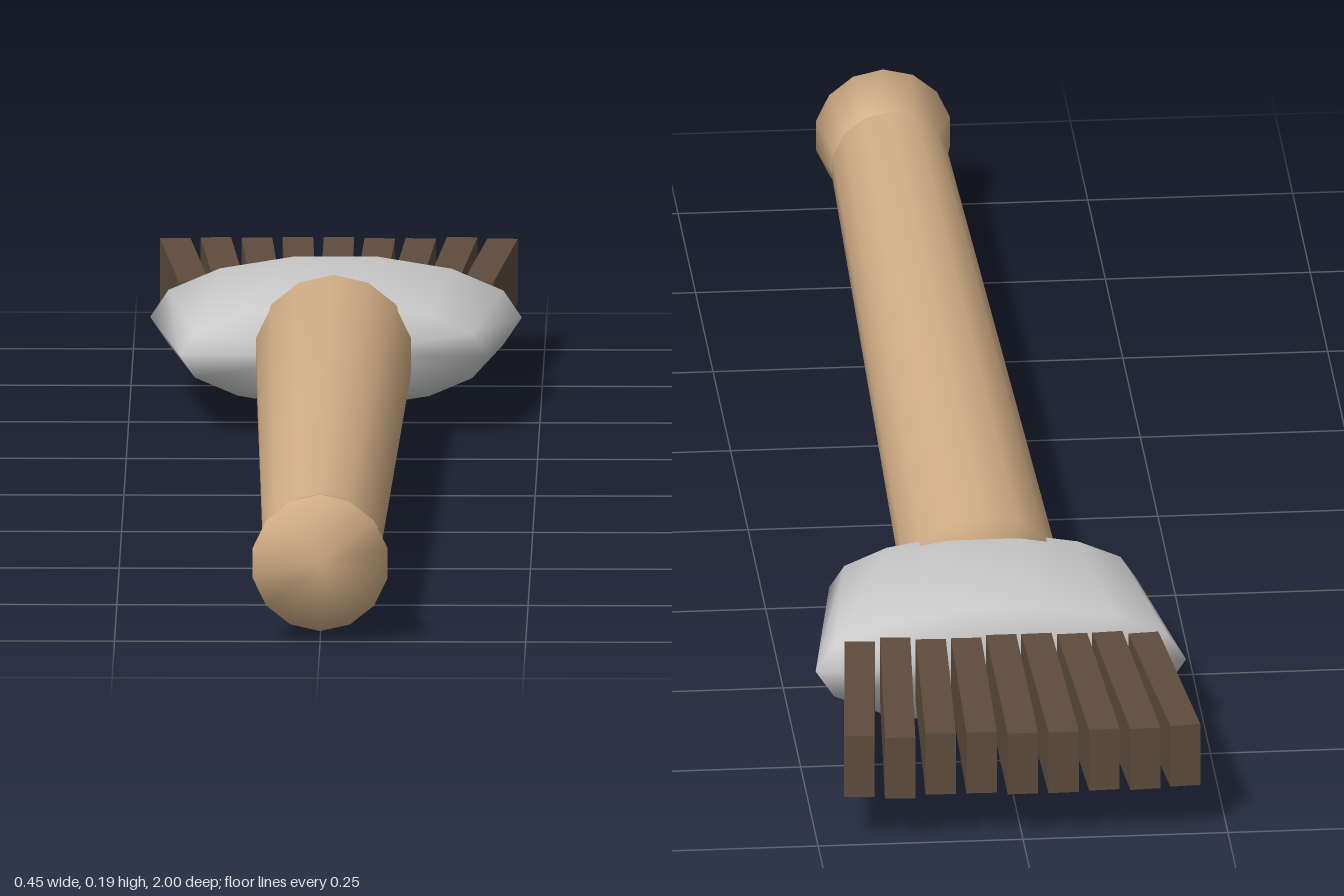
import * as THREE from 'three';
import { mergeVertices } from 'three/addons/utils/BufferGeometryUtils.js';

const AXIS_Y = 0.098;
const SIDES = 14;

const wood = new THREE.MeshStandardMaterial({ color: 0xd2ae86 });
const metal = new THREE.MeshStandardMaterial({ color: 0xcccccc });
const hair = new THREE.MeshStandardMaterial({ color: 0x5f4d3d });

// Closed tapered cylinder along z, with normals smoothed over the caps
function taper(name, material, zFront, rFront, zBack, rBack, flatten = 1, start = 0) {
  let geometry = new THREE.CylinderGeometry(rFront, rBack, zFront - zBack, SIDES, 1, false, start);
  geometry.rotateX(Math.PI / 2);
  geometry.scale(1, flatten, 1);
  geometry.deleteAttribute('uv');
  geometry.deleteAttribute('normal');
  geometry = mergeVertices(geometry);
  geometry.computeVertexNormals();
  const mesh = new THREE.Mesh(geometry, material);
  mesh.name = name;
  mesh.position.set(0, AXIS_Y, (zFront + zBack) / 2);
  return mesh;
}

export function createModel() {
  const brush = new THREE.Group();
  brush.name = 'paintbrush';

  // Wooden handle with a flared end
  brush.add(taper('handle', wood, 0.895, 0.072, -0.435, 0.097));
  brush.add(taper('handleEnd', wood, 1, 0.084, 0.89, 0.066));

  // Flattened metal sleeve, widening toward the bristles
  brush.add(taper('ferrule', metal, -0.42, 0.187, -0.683, 0.226, 0.34, Math.PI / 2));

  // Fan of bristle clumps of slightly uneven length
  const bristles = new THREE.Group();
  bristles.name = 'bristles';
  const lengths = [0.296, 0.308, 0.304, 0.312, 0.312, 0.298, 0.298, 0.316, 0.298];
  lengths.forEach((length, n) => {
    const i = n - 4;
    const clump = new THREE.Mesh(new THREE.BoxGeometry(0.037, 0.08, length), hair);
    clump.name = 'bristleClump';
    clump.position.set(i * 0.0465, AXIS_Y + 0.002, -0.842);
    clump.rotation.y = -i * 0.022;
    bristles.add(clump);
  });
  brush.add(bristles);

  return brush;
}
